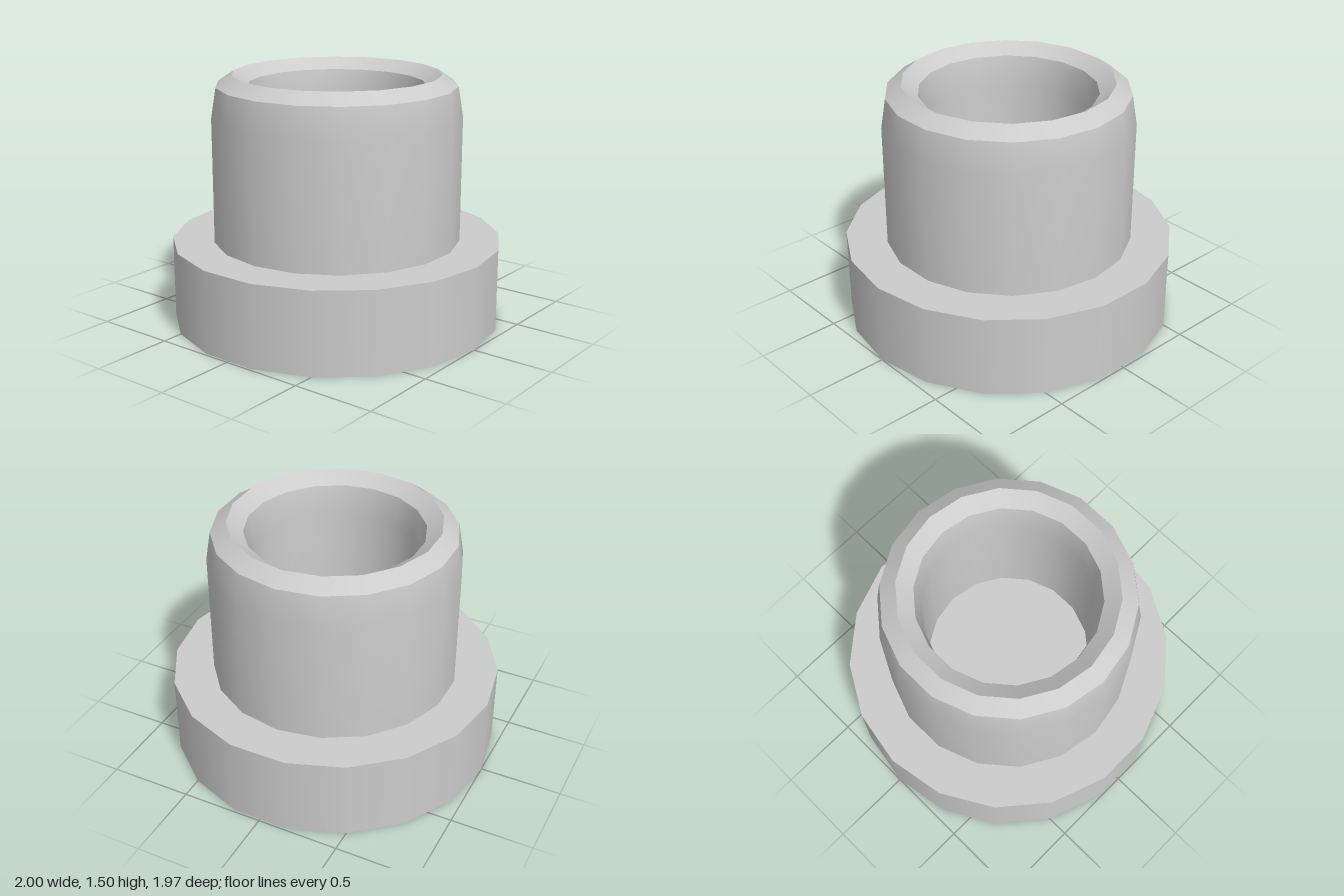
import * as THREE from 'three';

const SIDES = 18;

export function createModel() {
  const model = new THREE.Group();
  const material = new THREE.MeshStandardMaterial({ color: 0xcccccc });

  // Wide solid base disc, with a corner on each end of the x axis
  const base = new THREE.Mesh(new THREE.CylinderGeometry(1, 1, 0.5, SIDES), material);
  base.name = 'base';
  base.rotation.y = Math.PI / 2;
  base.position.y = 0.25;
  model.add(base);

  // Hollow collar: each band is smooth, with a crease between bands
  const collar = new THREE.Group();
  collar.name = 'collar';
  const bands = {
    outerWall: [[0.75, 0.5], [0.75, 1.26], [0.72, 1.44]],
    outerBevel: [[0.72, 1.44], [0.625, 1.505]],
    innerBevel: [[0.625, 1.505], [0.53, 1.44]],
    innerWall: [[0.53, 1.44], [0.5, 1.26], [0.5, 0.5]],
  };
  for (const [name, profile] of Object.entries(bands)) {
    const points = profile.map(([r, y]) => new THREE.Vector2(r, y));
    const band = new THREE.Mesh(new THREE.LatheGeometry(points, SIDES), material);
    band.name = name;
    collar.add(band);
  }
  model.add(collar);

  return model;
}
